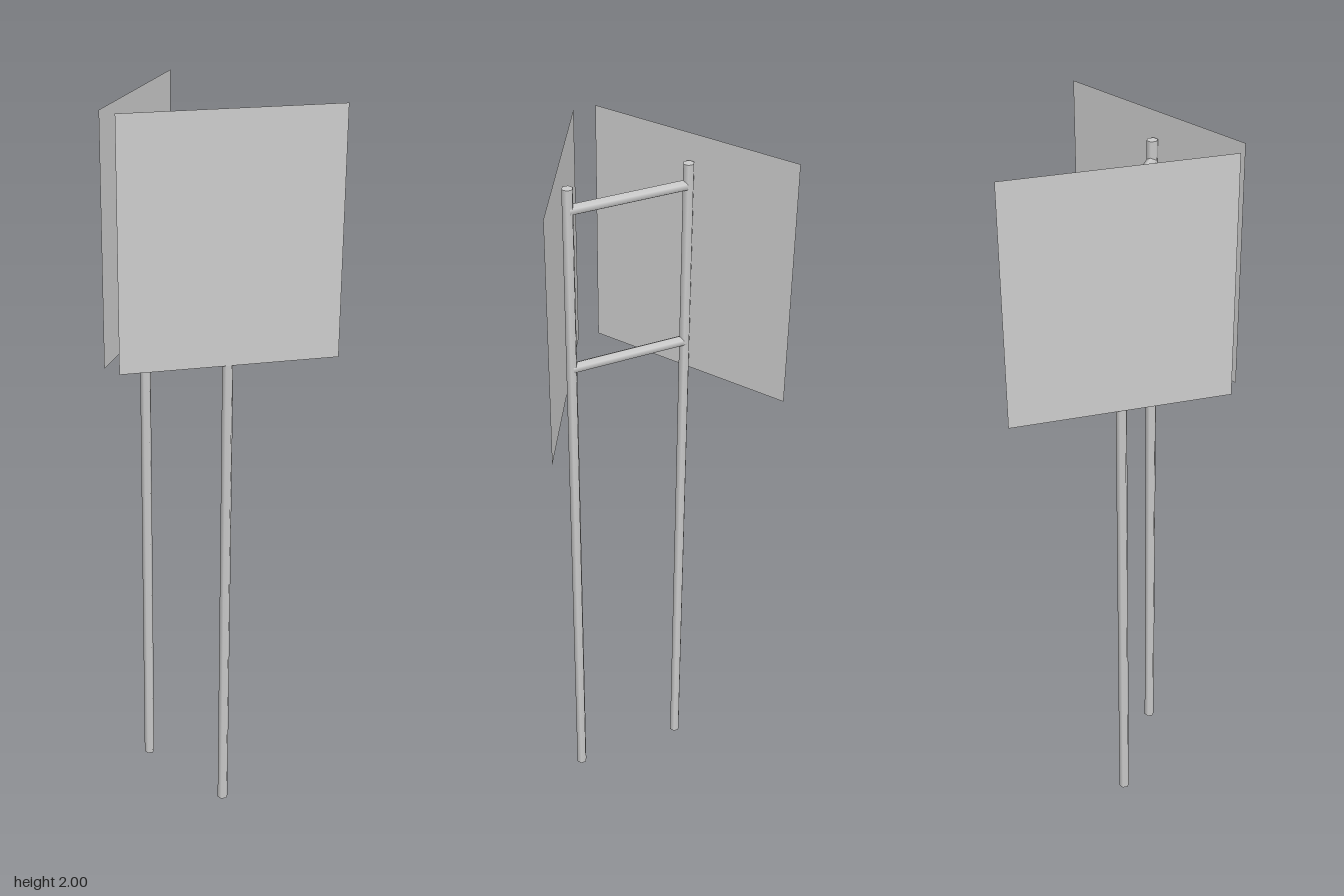
import * as THREE from 'three';

export function createModel() {
  const model = new THREE.Group();
  const metal = new THREE.MeshStandardMaterial({ color: 0xcccccc });
  const sheet = new THREE.MeshStandardMaterial({ color: 0xcccccc, side: THREE.DoubleSide });

  const postX = 0.159, postZ = -0.004, postHeight = 1.93, radius = 0.0147;

  // Hexagonal rod with flats facing front and back
  const rod = (name, length) => {
    const geometry = new THREE.CylinderGeometry(radius, radius, length, 6);
    geometry.rotateY(Math.PI / 6);
    const mesh = new THREE.Mesh(geometry, metal);
    mesh.name = name;
    model.add(mesh);
    return mesh;
  };

  for (const [side, s] of [['left', 1], ['right', -1]]) {
    // Upright post
    rod(side + 'Post', postHeight).position.set(s * postX, postHeight / 2, postZ);

    // Thin sign panel touching the outer front of its post, turned 60 degrees outward
    const panel = new THREE.Mesh(new THREE.PlaneGeometry(0.581, 0.656), sheet);
    panel.name = side + 'Panel';
    panel.position.set(s * 0.1745, 1.672, 0.001);
    panel.rotation.y = s * Math.PI / 3;
    model.add(panel);
  }

  // Cross bars joining the posts
  for (const [name, y] of [['upperCrossBar', 1.873], ['lowerCrossBar', 1.432]]) {
    const bar = rod(name, 2 * postX);
    bar.rotation.z = Math.PI / 2;
    bar.position.set(0, y, postZ);
  }

  return model;
}
